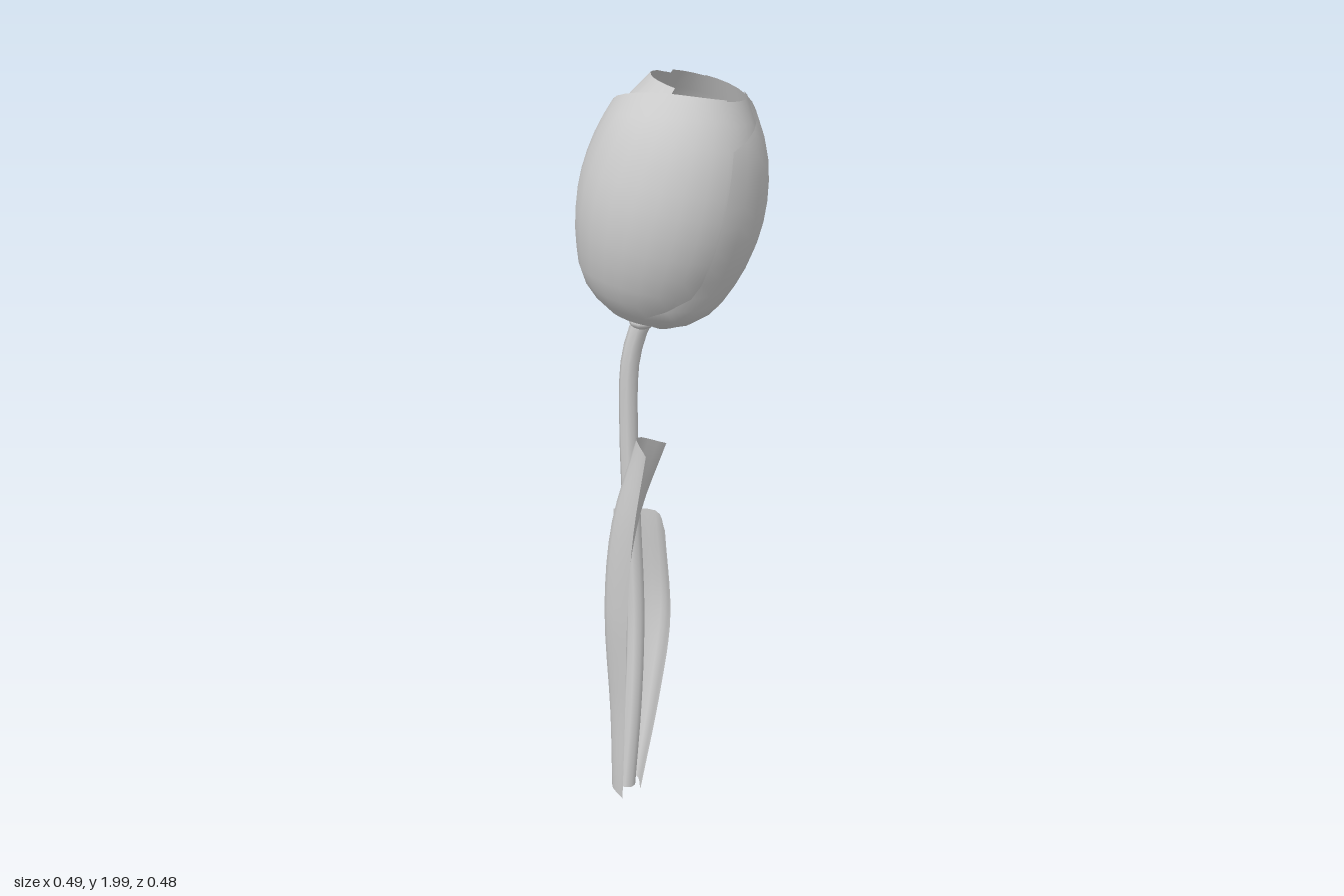
import * as THREE from 'three';
import { ParametricGeometry } from 'three/addons/geometries/ParametricGeometry.js';

const V = (a) => new THREE.Vector3(...a);
const solid = new THREE.MeshStandardMaterial({ color: 0xcccccc });
const thin = new THREE.MeshStandardMaterial({ color: 0xcccccc, side: THREE.DoubleSide });

function add(parent, name, geometry, material = solid) {
  const mesh = new THREE.Mesh(geometry, material);
  mesh.name = name;
  parent.add(mesh);
  return mesh;
}

// Tube through a few points
function tube(points, radius, segments = 20, sides = 8) {
  return new THREE.TubeGeometry(new THREE.CatmullRomCurve3(points.map(V)), segments, radius, sides);
}

// Leaf blade lofted through rows of [edge, middle, edge], from base to tip
function leaf(rows) {
  const columns = [0, 1, 2].map((i) => new THREE.CatmullRomCurve3(rows.map((row) => V(row[i]))));
  return new ParametricGeometry((u, v, target) => {
    const across = new THREE.CatmullRomCurve3(columns.map((c) => c.getPoint(v)));
    target.copy(across.getPoint(u));
  }, 8, 16);
}

// Flower profile: radius against distance along the flower's axis
const profile = new THREE.SplineCurve([
  [0.015, 0], [0.1, 0.025], [0.165, 0.09], [0.21, 0.19], [0.229, 0.3],
  [0.222, 0.41], [0.19, 0.52], [0.125, 0.63],
].map(([r, s]) => new THREE.Vector2(r, s)));

// Petal wrapping round the axis; its first edge lies free outside its neighbour
function petal({ start, span, outer, inner, flare, drop }) {
  return new ParametricGeometry((u, v, target) => {
    const free = (1 - u) ** 4;
    const low = Math.exp(-(((v - 0.28) / 0.1) ** 2));
    const p = profile.getPoint(v * (1 - drop * (1 - u) ** 2));
    const r = p.x * (THREE.MathUtils.lerp(outer, inner, u) + flare * free * (0.2 * low + 0.1 * v ** 6));
    const a = start - u * span + flare * free * 0.6 * low;
    target.set(r * Math.cos(a), p.y, r * Math.sin(a));
  }, 10, 14);
}

function createFlower() {
  const flower = new THREE.Group();
  flower.name = 'flower';
  flower.position.set(-0.06, 1.35, -0.05);
  flower.quaternion.setFromUnitVectors(V([0, 1, 0]), V([0.115, 0.62, 0.087]).normalize());

  // Three overlapping outer petals and three inner ones
  [97, -8, -122].forEach((deg) => {
    const start = THREE.MathUtils.degToRad(deg);
    add(flower, 'outerPetal', petal({ start, span: 2.5, outer: 1.05, inner: 0.99, flare: 1, drop: 0.13 }), thin);
    add(flower, 'innerPetal', petal({ start: start + 1, span: 2.4, outer: 0.99, inner: 0.96, flare: 0, drop: 0.03 }), thin);
  });

  // Pistil with a three-lobed tip
  add(flower, 'pistil', new THREE.CylinderGeometry(0.016, 0.022, 0.22, 8)).position.y = 0.11;
  for (let i = 0; i < 3; i++) {
    const a = 0.1 + (i * Math.PI * 2) / 3;
    const lobe = add(flower, 'pistilLobe', new THREE.SphereGeometry(0.016, 8, 6));
    lobe.scale.set(1.7, 0.8, 0.8);
    lobe.rotation.y = -a;
    lobe.position.set(0.018 * Math.cos(a), 0.22, 0.018 * Math.sin(a));
  }

  // Stamens: thin filaments carrying oval anthers
  [20, 115, 230].forEach((deg) => {
    const a = THREE.MathUtils.degToRad(deg);
    const at = (r, y) => [r * Math.cos(a), y, r * Math.sin(a)];
    add(flower, 'filament', tube([at(0.01, 0.01), at(0.035, 0.09), at(0.055, 0.17)], 0.004, 8, 6));
    const anther = add(flower, 'anther', new THREE.SphereGeometry(0.012, 8, 8));
    anther.scale.y = 2;
    anther.position.set(...at(0.062, 0.185));
    anther.quaternion.setFromUnitVectors(V([0, 1, 0]), V(at(0.6, 0.8)).normalize());
  });
  return flower;
}

export function createModel() {
  const model = new THREE.Group();
  model.name = 'tulip';

  // Gently curved stem with a swelling under the flower
  add(model, 'stem', tube([
    [-0.18, 0.01, 0.02], [-0.14, 0.27, 0], [-0.108, 0.52, -0.03], [-0.098, 0.8, -0.058],
    [-0.093, 1.05, -0.075], [-0.086, 1.23, -0.076], [-0.07, 1.32, -0.062], [-0.055, 1.37, -0.045],
  ], 0.025, 28, 8));
  const swelling = add(model, 'receptacle', new THREE.SphereGeometry(0.035, 10, 8));
  swelling.position.set(-0.062, 1.35, -0.052);
  swelling.scale.y = 0.6;

  add(model, 'tallLeaf', leaf([
    [[-0.235, 0.015, 0.08], [-0.215, 0.01, 0], [-0.14, 0.005, -0.03]],
    [[-0.22, 0.25, 0.075], [-0.22, 0.25, 0.005], [-0.165, 0.25, -0.035]],
    [[-0.225, 0.6, 0.1], [-0.24, 0.6, 0.015], [-0.135, 0.6, -0.03]],
    [[-0.22, 0.85, 0.125], [-0.222, 0.85, 0.03], [-0.105, 0.83, -0.005]],
    [[-0.2, 1.075, 0.155], [-0.168, 1.09, 0.07], [-0.06, 1.04, 0.05]],
  ]), thin);

  add(model, 'shortLeaf', leaf([
    [[-0.16, 0.005, 0.06], [-0.135, 0.01, 0.005], [-0.17, 0.01, -0.03]],
    [[-0.09, 0.3, 0.06], [-0.055, 0.3, -0.025], [-0.13, 0.3, -0.085]],
    [[-0.055, 0.52, 0.06], [-0.014, 0.52, -0.04], [-0.11, 0.52, -0.125]],
    [[-0.065, 0.785, 0.05], [-0.025, 0.795, -0.05], [-0.105, 0.79, -0.135]],
  ]), thin);

  model.add(createFlower());
  return model;
}
